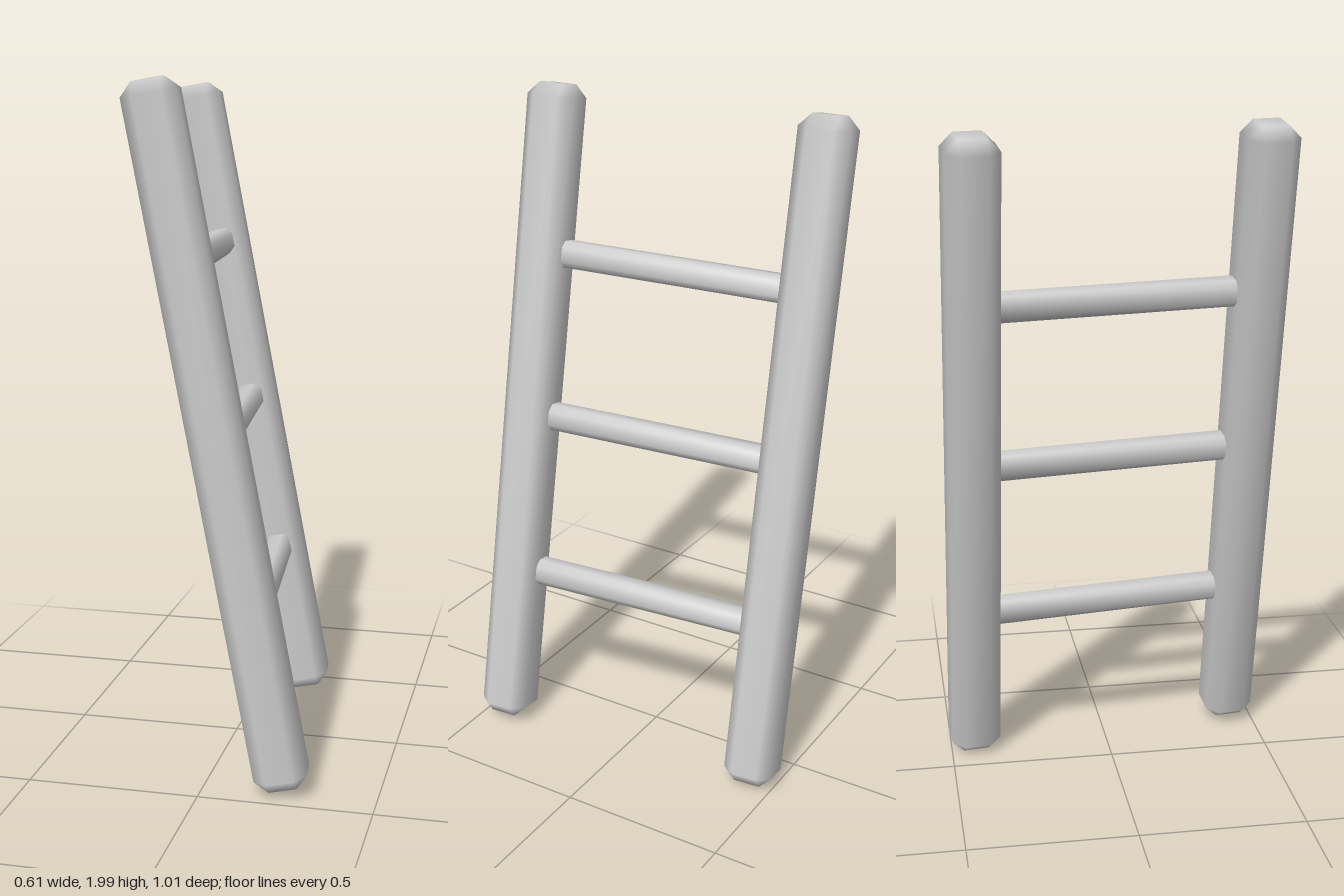
import * as THREE from 'three';
import { mergeVertices } from 'three/addons/utils/BufferGeometryUtils.js';

// Square bar along y with every edge chamfered, smooth shaded
function chamferedBar(width, length) {
  const h = width / 2, f = h * 0.52, b = h - f, half = length / 2;
  const octagon = [[h, f], [f, h], [-f, h], [-h, f], [-h, -f], [-f, -h], [f, -h], [h, -f]];
  const cap = octagon.map(([x, z]) => [Math.sign(x) * f, Math.sign(z) * f]);
  const rings = [[cap, -half], [octagon, -half + b], [octagon, half - b], [cap, half]];
  const pos = [], index = [];
  for (const [ring, y] of rings) for (const [x, z] of ring) pos.push(x, y, z);
  for (let r = 0; r < 3; r++) {
    for (let i = 0; i < 8; i++) {
      const j = (i + 1) % 8, a = r * 8 + i, c = r * 8 + j;
      // the cap rings have doubled corners, so skip the collapsed triangles
      const corner = i % 2 === 0;
      if (!(r === 0 && corner)) index.push(a, a + 8, c);
      else { index.push(a, a + 8, c + 8); continue; }
      if (!(r === 2 && corner)) index.push(c, a + 8, c + 8);
    }
  }
  // end caps
  index.push(0, 2, 4, 0, 4, 6, 24, 28, 26, 24, 30, 28);
  let geo = new THREE.BufferGeometry();
  geo.setAttribute('position', new THREE.Float32BufferAttribute(pos, 3));
  geo.setIndex(index);
  geo = mergeVertices(geo, 1e-5);
  geo.computeVertexNormals();
  return geo;
}

export function createModel() {
  const model = new THREE.Group();
  model.name = 'ladder';
  const material = new THREE.MeshStandardMaterial({ color: 0xcccccc });

  // Side rails
  const railGeo = chamferedBar(0.154, 2.0);
  for (const side of [1, -1]) {
    const rail = new THREE.Mesh(railGeo, material);
    rail.name = side > 0 ? 'frontRail' : 'backRail';
    rail.position.z = side * 0.424;
    model.add(rail);
  }

  // Rungs between the rails
  const rungGeo = chamferedBar(0.08, 0.8);
  rungGeo.rotateX(Math.PI / 2);
  for (let i = -1; i <= 1; i++) {
    const rung = new THREE.Mesh(rungGeo, material);
    rung.name = 'rung' + (i + 2);
    rung.position.y = i * 0.504;
    model.add(rung);
  }

  // Lean the whole ladder
  const up = new THREE.Vector3(-0.188, 0.982, 0.0).normalize();
  const across = new THREE.Vector3(0.106, 0.016, 0.994);
  up.z = 0.004;
  up.normalize();
  across.addScaledVector(up, -across.dot(up)).normalize();
  const side = new THREE.Vector3().crossVectors(up, across);
  model.quaternion.setFromRotationMatrix(new THREE.Matrix4().makeBasis(side, up, across));
  model.position.y = 1;
  return model;
}
